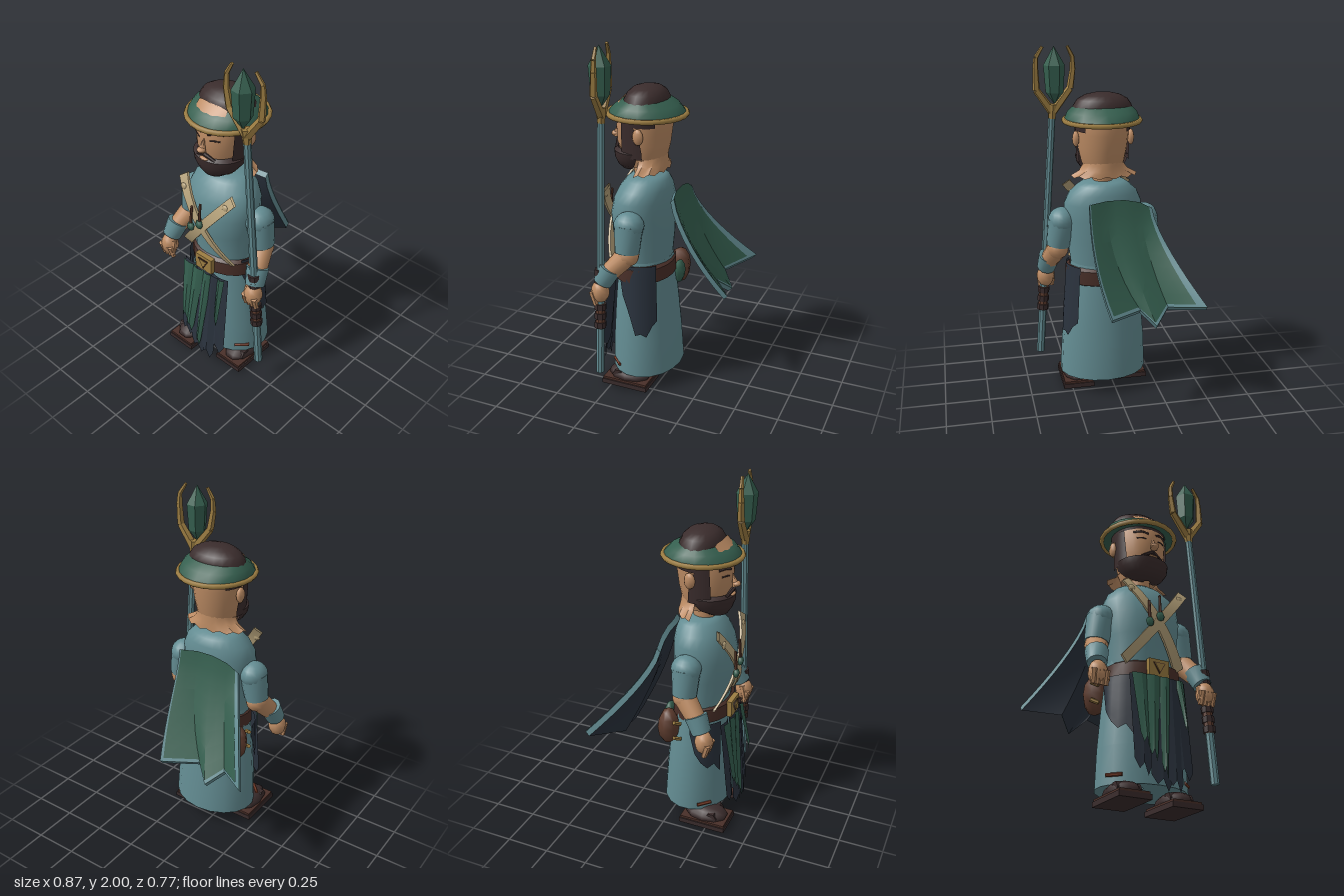
import * as THREE from 'three';
import { toCreasedNormals } from 'three/addons/utils/BufferGeometryUtils.js';

const mat = (name, color) => Object.assign(new THREE.MeshStandardMaterial({ color, side: THREE.DoubleSide }), { name });
const teal = mat('teal cloth', 0x638c92), green = mat('green cloth', 0x355f4f), navy = mat('dark cloth', 0x2a323d),
  skin = mat('skin', 0xbd8c64), hair = mat('hair', 0x3a2c2c), brown = mat('leather', 0x5f3d2f), beltLeather = mat('belt leather', 0x492f28),
  gold = mat('gold', 0x9c7d42), tan = mat('strap', 0xb8a47c), rust = mat('rust', 0x7a3d28);

const V = (x, y, z) => new THREE.Vector3(x, y, z);
const CX = 0.045; // the body's own middle line
const mirror = p => V(2 * CX - p.x, p.y, p.z);

// Surface from a rule fn(u, v), u running right and v running up when seen from outside
function grid(nu, nv, fn, crease = 0.7) {
  const pos = [], idx = [];
  for (let j = 0; j <= nv; j++) for (let i = 0; i <= nu; i++) pos.push(...fn(i / nu, j / nv).toArray());
  for (let j = 0; j < nv; j++) for (let i = 0; i < nu; i++) {
    const a = j * (nu + 1) + i, d = a + nu + 1;
    idx.push(a, a + 1, d + 1, a, d + 1, d);
  }
  const g = new THREE.BufferGeometry();
  g.setAttribute('position', new THREE.Float32BufferAttribute(pos, 3));
  g.setIndex(idx);
  return toCreasedNormals(g, crease);
}
// Elliptical rings [y, centre x, centre z, radius x, radius z]
const loft = (rings, n = 20, t0 = -Math.PI, t1 = Math.PI) => grid(n, rings.length - 1, (u, v) => {
  const [y, cx, cz, rx, rz] = rings[Math.round(v * (rings.length - 1))], t = t0 + (t1 - t0) * u;
  return V(cx + rx * Math.sin(t), y, cz + rz * Math.cos(t));
});
// Linear sample of a list of vectors
function along(list, u) {
  const f = u * (list.length - 1), i = Math.min(Math.floor(f), list.length - 2);
  return list[i].clone().lerp(list[i + 1], f - i);
}

const ROBE = [[0.125, 0.055, 0.11, 0.01, 0.01], [0.095, 0.055, 0.11, 0.255, 0.2], [0.3, 0.052, 0.115, 0.245, 0.19],
  [0.5, 0.048, 0.12, 0.225, 0.175], [0.78, 0.045, 0.125, 0.19, 0.15]];
// Point on the robe's surface, pushed out a little
function robeAt(t, y, off) {
  let i = 1;
  while (i < ROBE.length - 2 && y > ROBE[i + 1][0]) i++;
  const a = ROBE[i], b = ROBE[i + 1], k = (y - a[0]) / (b[0] - a[0]);
  const [, cx, cz, rx, rz] = a.map((q, n) => q + (b[n] - q) * k);
  return V(cx + (rx + off) * Math.sin(t), y, cz + (rz + off) * Math.cos(t));
}

export function createModel() {
  const root = new THREE.Group();
  root.name = 'staffBearer';
  const add = (name, geo, m, pos) => {
    const o = new THREE.Mesh(geo, m);
    o.name = name;
    if (pos) o.position.copy(pos);
    root.add(o);
    return o;
  };
  const rod = (name, a, b, ra, rb, m, n = 10) => {
    const g = toCreasedNormals(new THREE.CylinderGeometry(rb, ra, a.distanceTo(b), n), 0.7);
    const o = add(name, g, m, a.clone().lerp(b, 0.5));
    o.quaternion.setFromUnitVectors(V(0, 1, 0), b.clone().sub(a).normalize());
    return o;
  };
  const ball = (name, pos, sx, sy, sz, m, w = 12, h = 8) => {
    const o = add(name, new THREE.SphereGeometry(1, w, h), m, pos);
    o.scale.set(sx, sy, sz);
    return o;
  };
  const box = (name, pos, w, h, d, m) => add(name, new THREE.BoxGeometry(w, h, d), m, pos);

  // Robe, torso and belt
  add('robe', loft(ROBE, 18), teal);
  add('torso', loft([[0.66, 0.045, 0.13, 0.185, 0.15], [0.78, 0.045, 0.13, 0.19, 0.15], [0.92, 0.045, 0.137, 0.208, 0.17],
    [1.04, 0.045, 0.14, 0.222, 0.173], [1.13, 0.045, 0.13, 0.222, 0.16], [1.19, 0.045, 0.12, 0.195, 0.14],
    [1.235, 0.045, 0.11, 0.15, 0.115], [1.255, 0.045, 0.11, 0.12, 0.09], [1.258, 0.045, 0.11, 0.01, 0.01]], 24), teal);
  add('belt', loft([[0.66, 0.055, 0.13, 0.2, 0.155], [0.67, 0.055, 0.13, 0.215, 0.172], [0.75, 0.055, 0.13, 0.212, 0.17],
    [0.765, 0.055, 0.13, 0.19, 0.15]], 20), beltLeather);
  box('buckle', V(0.05, 0.715, 0.305), 0.12, 0.095, 0.03, gold);
  for (const [name, r, m, z] of [['buckleMark', 0.042, beltLeather, 0.322], ['buckleInset', 0.033, gold, 0.325]])
    add(name, new THREE.CylinderGeometry(r, r, 0.006, 3), m, V(0.05, 0.722, z)).rotation.x = Math.PI / 2;

  // Torn dark panels over the hips
  const panel = (name, t0, t1, top, off, lows) => add(name, grid(lows.length - 1, 6, (u, v) => {
    const low = lows[Math.round(u * (lows.length - 1))];
    return robeAt(t0 + (t1 - t0) * u, low + (top - low) * v, off + 0.016 * v);
  }), navy);
  panel('leftHipPanel', 1.08, 2.35, 0.772, 0.01, [0.66, 0.58, 0.53, 0.46, 0.36, 0.37, 0.35, 0.41, 0.44]);
  panel('rightHipPanel', -1.5, -0.55, 0.67, 0.012, [0.6, 0.48, 0.42, 0.38, 0.4, 0.34]);

  // Ragged front cloths: top x pair, bottom x pair, bottom y, depth
  [[-0.115, 0.0, -0.115, -0.02, 0.13, 0, navy], [0.09, 0.215, 0.1, 0.22, 0.13, 0, navy], [-0.01, 0.12, -0.03, 0.09, 0.06, 0.012, navy],
    [0.07, 0.17, 0.06, 0.15, 0.06, 0.016, navy], [-0.11, -0.01, -0.09, -0.03, 0.26, 0.018, green],
    [-0.03, 0.055, -0.05, 0.005, 0.2, 0.024, green], [0.05, 0.115, 0.025, 0.06, 0.12, 0.024, green],
    [0.15, 0.2, 0.165, 0.19, 0.36, 0.016, green]
  ].forEach(([a, b, c, d, low, off, m], k) => add('frontCloth' + k, grid(4, 4, (u, v) => {
    const i = Math.round(u * 4), y0 = low + [0.07, 0.02, 0.05, -0.01, 0.04][i];
    return V(THREE.MathUtils.lerp(c + (d - c) * u, a + (b - a) * u, v), THREE.MathUtils.lerp(y0, 0.665, v),
      0.295 + off + 0.05 * (1 - v) + 0.014 * Math.sin(u * Math.PI));
  }, 0.3), m));

  // Crossed chest straps with hanging charms
  const strap = (name, a, b) => {
    const side = b.clone().sub(a).normalize().cross(V(0, 0, 1)).multiplyScalar(0.027);
    add(name, grid(4, 10, (u, v) => {
      const i = Math.round(u * 4) % 4, p = a.clone().lerp(b, v).addScaledVector(side, i === 1 || i === 2 ? 1 : -1);
      p.z = (i < 2 ? 0.335 : 0.321) - 1.2 * (p.y - 1) ** 2;
      return p;
    }), tan);
  };
  strap('strapOne', V(0.21, 0.75, 0), V(-0.125, 1.22, 0));
  strap('strapTwo', V(-0.125, 0.755, 0), V(0.235, 1.21, 0));
  for (const [x, y] of [[-0.015, 0.96], [0.05, 1.005]]) {
    rod('charmStem', V(x, y, 0.343), V(x + 0.003, y + 0.13, 0.333), 0.009, 0.007, brown, 6);
    ball('charm', V(x, y, 0.343), 0.025, 0.028, 0.018, green, 6, 4);
  }
  for (const x of [-0.1, 0.2]) ball('strapStud', V(x, 1.16, 0.298), 0.022, 0.022, 0.011, tan, 8, 6);

  // Arms, hands, shoes and hem ties, mirrored; the left foot stands further back
  for (const [side, f, fz] of [['right', p => p, 0.225], ['left', mirror, 0.165]]) {
    const sh = f(V(-0.195, 1.03, 0.12)), el = f(V(-0.22, 0.865, 0.122)), wr = f(V(-0.272, 0.73, 0.24));
    ball(side + 'Shoulder', sh, 0.078, 0.075, 0.085, teal, 16, 10);
    rod(side + 'Sleeve', f(V(-0.219, 0.88, 0.122)), sh, 0.068, 0.08, teal, 14);
    ball(side + 'Elbow', el, 0.064, 0.066, 0.068, skin);
    rod(side + 'Forearm', wr, el, 0.05, 0.062, skin, 12);
    rod(side + 'Cuff', f(V(-0.277, 0.702, 0.247)), f(V(-0.259, 0.79, 0.205)), 0.054, 0.064, teal, 12);
    ball(side + 'Palm', f(V(-0.28, 0.645, 0.262)), 0.052, 0.068, 0.052, skin, 10, 8);
    for (let i = 0; i < 4; i++) {
      const x = -0.314 + i * 0.023;
      rod(side + 'Finger', f(V(x + 0.003, 0.575, 0.275)), f(V(x, 0.65, 0.296)), 0.015, 0.018, skin, 6);
    }
    rod(side + 'Thumb', f(V(-0.235, 0.6, 0.285)), f(V(-0.245, 0.68, 0.262)), 0.014, 0.019, skin, 6);
    box(side + 'Sole', f(V(-0.122, 0.014, fz)), 0.182, 0.028, 0.28, hair);
    box(side + 'Welt', f(V(-0.122, 0.034, fz)), 0.168, 0.014, 0.27, beltLeather);
    ball(side + 'Shoe', f(V(-0.122, 0.052, fz)), 0.084, 0.055, 0.13, hair, 10, 8);
    rod(side + 'ShoeStrap', f(V(-0.19, 0.06, fz + 0.05)), f(V(-0.054, 0.06, fz + 0.05)), 0.034, 0.034, hair, 6);
    rod(side + 'HemTie', f(V(-0.195, 0.14, 0.195)), f(V(-0.135, 0.14, 0.255)), 0.01, 0.01, rust, 6);
  }

  // Neck, head and face
  add('neck', loft([[1.22, CX, 0.125, 0.055, 0.06], [1.34, CX, 0.13, 0.06, 0.07]], 14), skin);
  add('head', loft([[1.3, CX, 0.13, 0.02, 0.03], [1.31, CX, 0.125, 0.1, 0.11], [1.37, CX, 0.128, 0.122, 0.128], [1.44, CX, 0.132, 0.137, 0.148],
    [1.53, CX, 0.128, 0.146, 0.156], [1.6, CX, 0.12, 0.148, 0.152], [1.66, CX, 0.115, 0.14, 0.13]], 24), skin);
  add('neckFlare', grid(14, 3, (u, v) => {
    const t = Math.PI * (0.5 + u), k = 1 - v, jag = Math.round(u * 14) % 2 ? 0.014 : 0;
    return V(CX + (0.112 + 0.08 * k ** 3) * Math.sin(t), 1.39 - 0.105 * k + jag * k, 0.115 + (0.115 + 0.005 * k) * Math.cos(t));
  }), skin);
  for (const s of [-1, 1]) {
    ball('ear', V(CX + s * 0.155, 1.5, 0.1), 0.02, 0.045, 0.032, skin, 8, 6);
    // Brow and eye as slim bent lines on the face
    for (const [name, y, rise, a, b, r] of [['eyebrow', 1.548, 0.014, 0.022, 0.1, 0.0065], ['eye', 1.514, 0.006, 0.035, 0.085, 0.0045]]) {
      const pts = [0, 0.5, 1].map(k => {
        const x = a + (b - a) * k;
        return V(CX + s * x, y + rise * Math.sin(k * 2.4), 0.128 + 0.154 * Math.sqrt(1 - (x / 0.147) ** 2));
      });
      add(name, new THREE.TubeGeometry(new THREE.CatmullRomCurve3(pts), 6, r, 5), hair);
    }
    rod('moustache', V(CX, 1.43, 0.288), V(CX + s * 0.062, 1.4, 0.272), 0.012, 0.008, hair, 6);
    // Sideburn tapering up in front of the ear to the hat
    add('sideburn', grid(6, 5, (u, v) => {
      const t = s * THREE.MathUtils.lerp(1.0 + 0.1 * v, 1.88 - 0.4 * v * v, s > 0 ? u : 1 - u);
      return V(CX + (0.146 + 0.01 * v) * Math.sin(t), 1.37 + 0.21 * v, 0.13 + (0.15 + 0.012 * v) * Math.cos(t));
    }), hair);
    // Short hair above the ear
    add('templeHair', loft([[1.545, CX, 0.125, 0.152, 0.159], [1.6, CX, 0.12, 0.156, 0.161]], 6, s > 0 ? 1.3 : -2.3, s > 0 ? 2.3 : -1.3), hair);
  }
  const nose = add('nose', new THREE.ConeGeometry(0.024, 0.08, 6), skin, V(CX, 1.487, 0.292));
  nose.rotation.x = -0.3;
  ball('noseTip', V(CX, 1.462, 0.306), 0.024, 0.016, 0.024, skin, 8, 6);
  add('beard', loft([[1.275, CX, 0.21, 0.02, 0.02], [1.285, CX, 0.2, 0.065, 0.06], [1.315, CX, 0.18, 0.112, 0.1],
    [1.355, CX, 0.165, 0.142, 0.13], [1.395, CX, 0.16, 0.15, 0.138], [1.41, CX, 0.16, 0.12, 0.12]], 16, -1.9, 1.9), hair);
  ball('lip', V(CX, 1.401, 0.288), 0.03, 0.009, 0.014, skin, 8, 6);
  add('hairline', loft([[1.58, CX, 0.12, 0.153, 0.16], [1.605, CX, 0.12, 0.158, 0.162]], 20), hair);

  // Hat: gold rim, green brim, dark crown and bare brow patch
  add('hatBrim', loft([[1.6, 0.05, 0.11, 0.14, 0.13], [1.592, 0.05, 0.11, 0.212, 0.215], [1.61, 0.05, 0.11, 0.208, 0.21],
    [1.65, 0.05, 0.11, 0.192, 0.17], [1.685, 0.05, 0.11, 0.155, 0.108]], 18), green);
  const rim = add('hatRim', new THREE.TorusGeometry(0.211, 0.014, 6, 24), gold, V(0.05, 1.6, 0.11));
  rim.rotation.x = Math.PI / 2;
  rim.scale.y = 1.02;
  add('hatCrown', loft([[1.65, 0.048, 0.11, 0.172, 0.118], [1.68, 0.048, 0.11, 0.165, 0.117], [1.715, 0.048, 0.11, 0.142, 0.1],
    [1.738, 0.048, 0.11, 0.1, 0.075], [1.75, 0.048, 0.11, 0.05, 0.035], [1.752, 0.048, 0.11, 0, 0]], 20), hair);
  add('browPatch', grid(10, 3, (u, v) => {
    const t = (u - 0.5) * 1.2, h = (v - 0.5) * (1 - Math.abs(2 * u - 1) ** 4 * 0.5);
    return V(0.048 + 0.174 * Math.sin(t), 1.673 + 0.046 * h, 0.11 + (0.139 - 0.05 * h) * Math.cos(t));
  }), skin);

  // Folded cape with a pale border and a dark lining
  const top = [V(-0.2, 1.12, -0.05), V(-0.13, 1.16, -0.055), V(-0.04, 1.18, -0.06), V(0.06, 1.18, -0.065), V(0.16, 1.17, -0.09)];
  const hem = [V(-0.435, 0.64, -0.385), V(-0.25, 0.6, -0.25), V(-0.17, 0.525, -0.325), V(-0.09, 0.6, -0.26), V(0.092, 0.61, -0.385)];
  const cape = (u, v, inner) => {
    const a = along(top, u), b = along(hem, u), k = 1 - v;
    return V(a.x + (b.x - a.x) * k ** (1.4 + 1.4 * u), a.y + (b.y - a.y) * k, a.z + (b.z - a.z) * k ** 1.4)
      .add(inner ? V(0, -0.024, 0.02) : V(0, 0, 0));
  };
  add('cape', grid(8, 8, (u, v) => cape(1 - u, v, false), 0.4), green);
  add('capeLining', grid(8, 8, (u, v) => cape(u, v, true), 0.4), navy);
  for (const e of [0, 1]) {
    add('capeSideBorder', grid(1, 8, (u, v) => cape(e, v, u > 0.5)), teal);
    add('capeEdgeBorder', grid(8, 1, (u, v) => cape(u, e, v > 0.5)), teal);
    add('capeSideTrim', grid(1, 8, (u, v) => cape(e ? 1 - u * 0.02 : u * 0.06, v, false).add(V(0, 0.003, -0.003))), teal);
  }
  add('capeHemTrim', grid(8, 1, (u, v) => cape(u, v * 0.025, false).add(V(0, 0.003, -0.003))), teal);

  // Pouches on the belt
  ball('hipPouch', V(-0.165, 0.625, 0.0), 0.068, 0.11, 0.062, brown, 7, 6);
  for (const y of [0.58, 0.68]) rod('pouchBand', V(-0.215, y, 0.055), V(-0.18, y - 0.02, 0.08), 0.012, 0.012, gold, 6);
  ball('backPouch', V(-0.05, 0.64, -0.04), 0.055, 0.07, 0.03, green, 7, 6);

  // Staff with grips, forked head and crystal
  const foot = V(0.413, 0.155, 0.257), tip = V(0.308, 1.62, 0.255), at = y => foot.clone().lerp(tip, (y - foot.y) / (tip.y - foot.y));
  rod('staff', foot, tip, 0.024, 0.02, teal, 8);
  for (const y of [0.45, 0.505, 0.56, 0.72, 0.765]) rod('staffGrip', at(y - 0.017), at(y + 0.017), 0.034, 0.034, hair, 8);
  rod('staffGripCore', at(0.43), at(0.58), 0.027, 0.027, brown, 8);
  rod('forkCollar', at(1.59), V(0.305, 1.67, 0.255), 0.022, 0.03, gold, 6);
  const prong = pts => pts.slice(1).forEach((p, i) => rod('forkProng', pts[i], p, 0.025 - i * 0.004, 0.021 - i * 0.004, gold, 5));
  prong([V(0.3, 1.63, 0.255), V(0.202, 1.755, 0.264), V(0.185, 1.86, 0.268), V(0.187, 1.93, 0.265), V(0.216, 1.988, 0.258)]);
  prong([V(0.31, 1.63, 0.255), V(0.393, 1.75, 0.25), V(0.396, 1.87, 0.244), V(0.392, 1.93, 0.244), V(0.354, 1.988, 0.25)]);
  const crystal = add('crystal', toCreasedNormals(new THREE.LatheGeometry([[0, 1.665], [0.05, 1.735], [0.06, 1.885], [0, 1.99]]
    .map(([r, y]) => new THREE.Vector2(r, y)), 6), 0.1), green, V(0.29, 0, 0.264));
  crystal.rotation.y = 0.4;
  return root;
}
